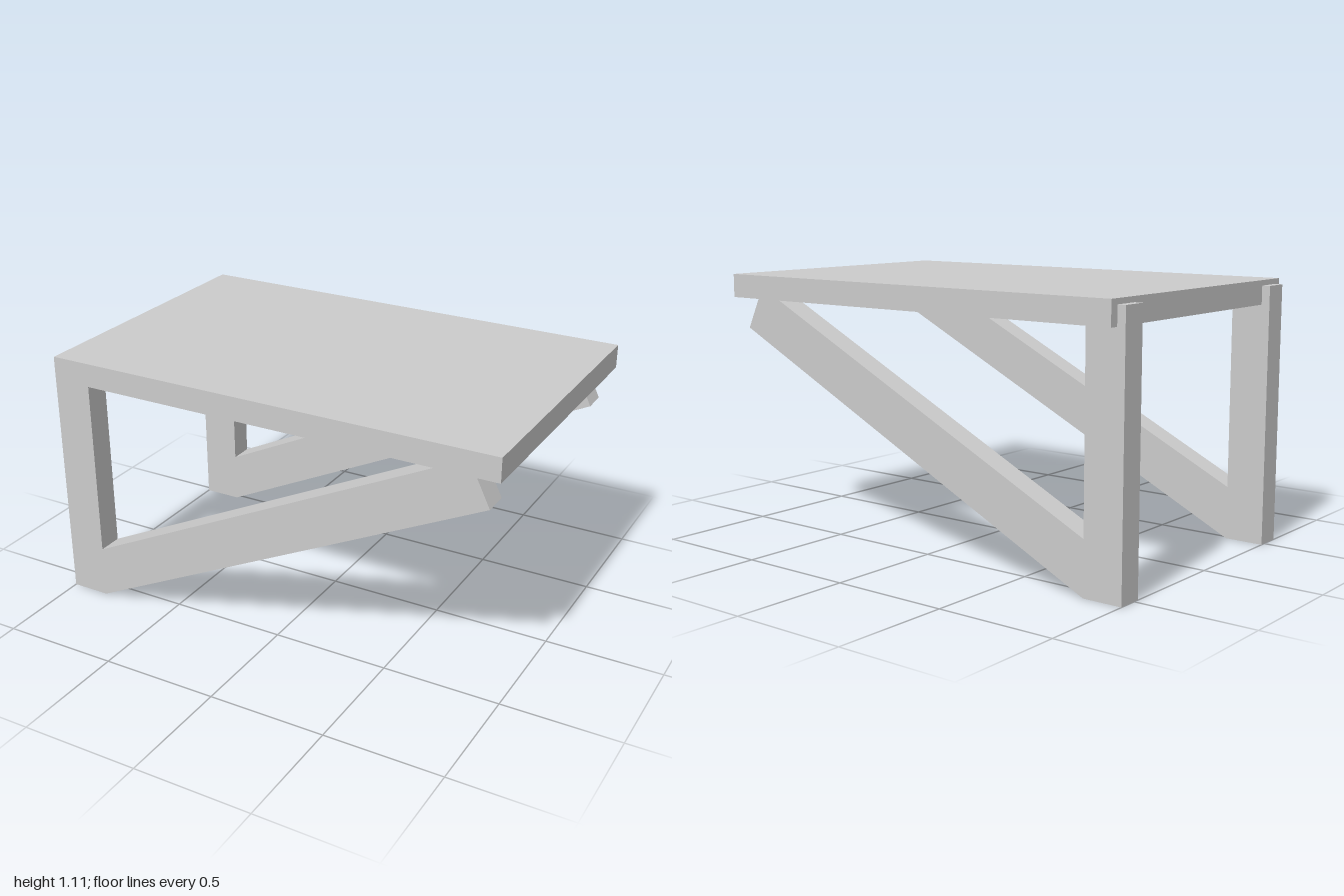
import * as THREE from 'three';

const material = new THREE.MeshStandardMaterial({ color: 0xcccccc, flatShading: true });
const LEG_DEPTH = 0.108;
const LEG_Z = 0.53;

// Box given by its minimum and maximum corners
function box(name, min, max) {
  const size = max.map((v, i) => v - min[i]);
  const mesh = new THREE.Mesh(new THREE.BoxGeometry(...size), material);
  mesh.position.set(...max.map((v, i) => (v + min[i]) / 2));
  mesh.name = name;
  return mesh;
}

// Slanted beam, mitred against the post and cut square at its upper end
function brace() {
  const shape = new THREE.Shape([
    new THREE.Vector2(-0.832, 0),
    new THREE.Vector2(0.95, 0.872),
    new THREE.Vector2(0.862, 1.052),
    new THREE.Vector2(-0.832, 0.224),
  ]);
  const geometry = new THREE.ExtrudeGeometry(shape, { depth: LEG_DEPTH, bevelEnabled: false });
  geometry.translate(0, 0, -LEG_DEPTH / 2);
  const mesh = new THREE.Mesh(geometry, material);
  mesh.name = 'brace';
  return mesh;
}

export function createModel() {
  const model = new THREE.Group();
  model.name = 'bracketTable';

  // Flat top
  model.add(box('tableTop', [-0.965, 1.005, -0.622], [1, 1.105, 0.622]));

  // One bracket at the front and one at the back
  for (const side of [1, -1]) {
    const bracket = new THREE.Group();
    bracket.name = side > 0 ? 'frontBracket' : 'backBracket';
    bracket.add(box('post', [-1, 0, -LEG_DEPTH / 2], [-0.832, 1.083, LEG_DEPTH / 2]));
    bracket.add(brace());
    bracket.position.z = side * LEG_Z;
    model.add(bracket);
  }
  return model;
}
